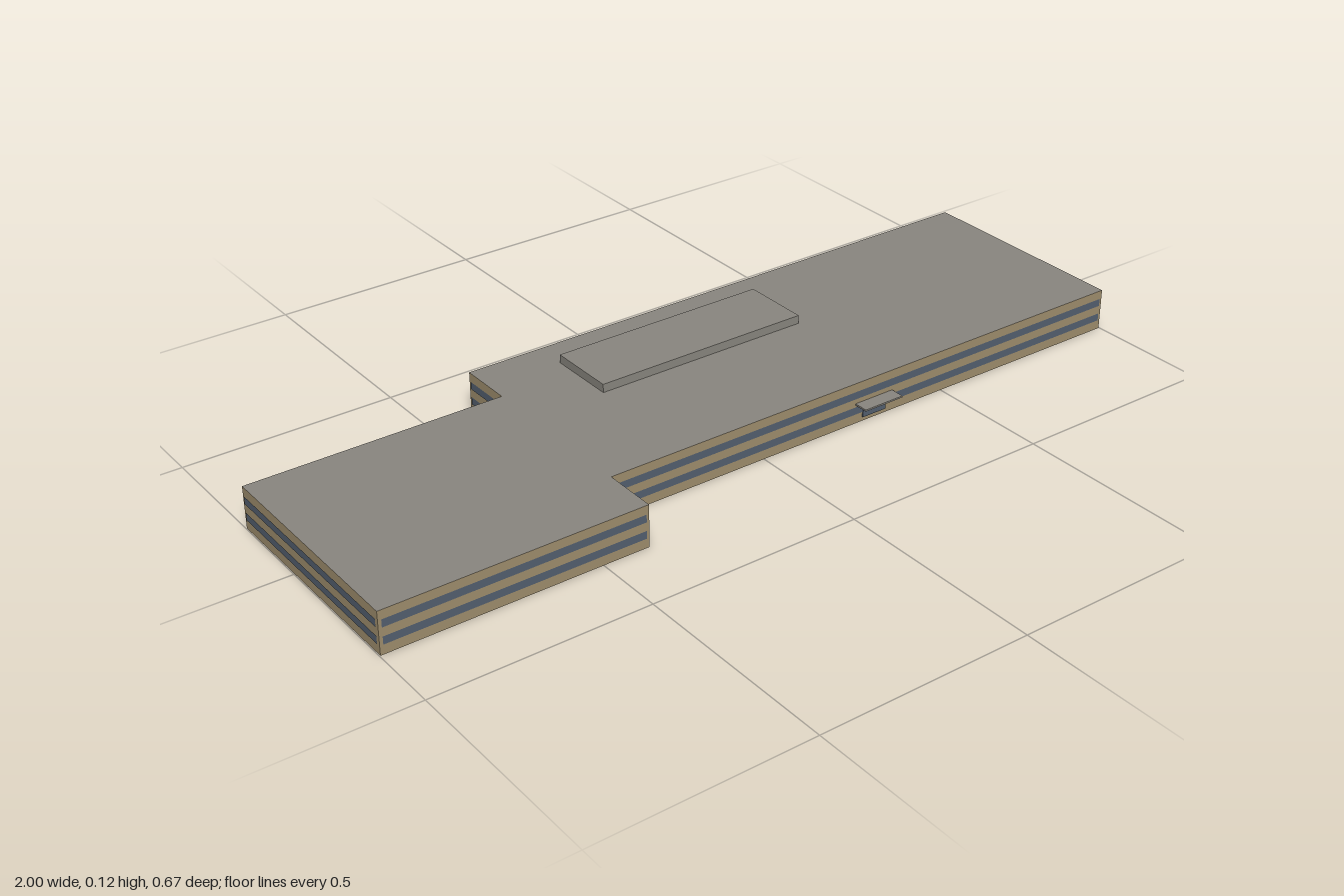
import * as THREE from 'three';

export function createModel() {
  const model = new THREE.Group();
  model.name = 'building';

  const material = (name, color, side = THREE.FrontSide) => {
    const m = new THREE.MeshStandardMaterial({ color, side });
    m.name = name;
    return m;
  };
  const wallMat = material('tanWall', 0xa08f6e, THREE.DoubleSide);
  const roofMat = material('greyRoof', 0x8a8780, THREE.DoubleSide);
  const glassMat = material('blueGreyGlass', 0x546070);

  const add = (parent, name, geometry, mat, x = 0, y = 0, z = 0) => {
    const mesh = new THREE.Mesh(geometry, mat);
    mesh.name = name;
    mesh.position.set(x, y, z);
    parent.add(mesh);
    return mesh;
  };

  const height = 0.099;
  // Stepped footprint as [x, z], running so that outward is on the right-hand side
  const plan = [
    [-0.998, 0.335], [-0.39, 0.335], [-0.39, 0.205], [0.998, 0.205],
    [0.998, -0.337], [-0.39, -0.337], [-0.39, -0.205], [-0.998, -0.205],
  ];

  // Open shell of walls, each with two window bands
  plan.forEach(([x0, z0], i) => {
    const [x1, z1] = plan[(i + 1) % plan.length];
    const length = Math.hypot(x1 - x0, z1 - z0);
    const side = new THREE.Group();
    side.name = `facade${i + 1}`;
    side.position.set((x0 + x1) / 2, 0, (z0 + z1) / 2);
    side.rotation.y = Math.atan2(z0 - z1, x1 - x0);
    add(side, 'wall', new THREE.PlaneGeometry(length, height), wallMat, 0, height / 2, 0);
    for (const y of [0.032, 0.07]) {
      add(side, 'windowBand', new THREE.PlaneGeometry(length - 0.014, 0.018), glassMat, 0, y, 0.0015);
    }
    model.add(side);
  });

  // Flat roof sheet, open to the hollow shell beneath
  const outline = new THREE.Shape(plan.map(([x, z]) => new THREE.Vector2(x, -z)));
  add(model, 'roof', new THREE.ShapeGeometry(outline).rotateX(-Math.PI / 2), roofMat, 0, height, 0);

  // Raised plant room on the roof
  add(model, 'roofBlock', new THREE.BoxGeometry(0.535, 0.02, 0.167), roofMat, 0.06, 0.109, -0.172);

  // Entrance door and canopy
  add(model, 'door', new THREE.BoxGeometry(0.064, 0.035, 0.004), glassMat, 0.303, 0.0275, 0.206);
  add(model, 'canopy', new THREE.BoxGeometry(0.104, 0.004, 0.034), roofMat, 0.303, 0.047, 0.222);

  return model;
}
